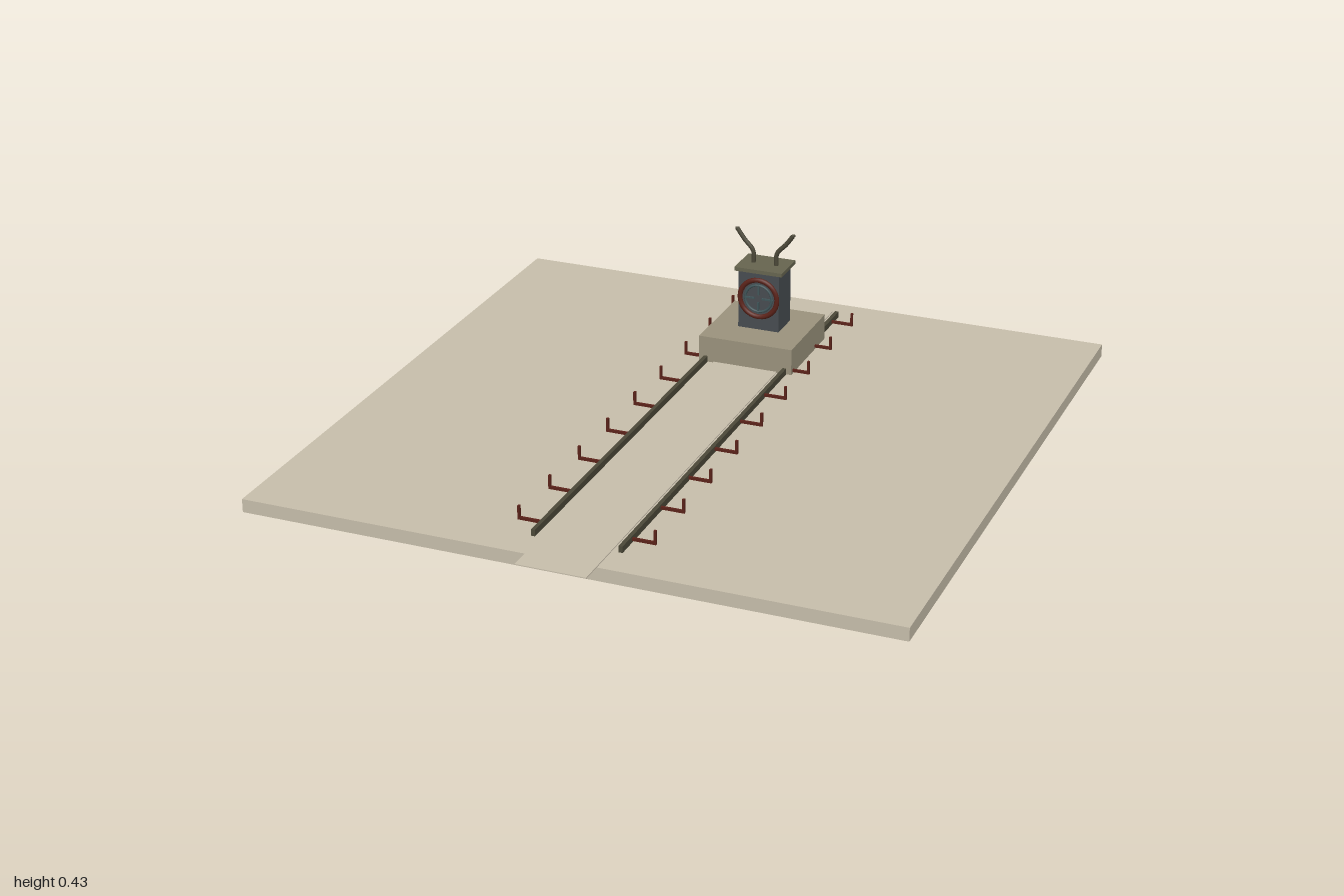
import * as THREE from 'three';

const mat = (name, color) => {
  const m = new THREE.MeshStandardMaterial({ color });
  m.name = name;
  return m;
};

export function createModel() {
  const stone = mat('pale stone', 0xc6bdaa);
  const plinthStone = mat('plinth stone', 0x9a927c);
  const slate = mat('slate', 0x474c50);
  const capStone = mat('cap stone', 0x66644f);
  const bronze = mat('dark bronze', 0x4b4838);
  const red = mat('dark red', 0x5a2219);
  const teal = mat('dull teal', 0x40565a);

  const model = new THREE.Group();
  model.name = 'shrineCourt';

  const add = (name, geometry, material, x = 0, y = 0, z = 0, parent = model) => {
    const mesh = new THREE.Mesh(geometry, material);
    mesh.name = name;
    mesh.position.set(x, y, z);
    parent.add(mesh);
    return mesh;
  };
  // Box given by its lowest and highest corners
  const box = (name, material, x0, x1, y0, y1, z0, z1) =>
    add(name, new THREE.BoxGeometry(x1 - x0, y1 - y0, z1 - z0), material,
      (x0 + x1) / 2, (y0 + y1) / 2, (z0 + z1) / 2);

  // Ground slab and the walkway that overhangs its front edge
  box('slab', stone, -0.965, 0.965, 0, 0.04, -1, 0.932);
  box('walkway', stone, -0.103, 0.103, 0.04, 0.043, -0.93, 1);

  // Rails with a row of bent hooks on the outside
  for (const side of [-1, 1]) {
    box('rail', bronze, side * 0.128 - 0.006, side * 0.128 + 0.006, 0.04, 0.059, -0.9, 0.832);
    for (let i = 0; i < 9; i++) {
      const z = -0.835 + i * 0.2;
      const hook = new THREE.Group();
      hook.name = 'hook';
      hook.position.set(side * 0.2, 0.05, z);
      model.add(hook);
      add('hookArm', new THREE.BoxGeometry(0.075, 0.008, 0.008), red, -side * 0.034, 0, 0, hook);
      add('hookTip', new THREE.BoxGeometry(0.007, 0.038, 0.008), red, 0, 0.019, 0, hook);
    }
  }

  // Plinth, pillar and cap
  box('plinth', plinthStone, -0.15, 0.15, 0.04, 0.122, -0.72, -0.42);
  box('pillar', slate, -0.066, 0.066, 0.122, 0.31, -0.635, -0.533);
  box('cap', capStone, -0.077, 0.077, 0.308, 0.32, -0.645, -0.525);

  // Round emblem on the pillar front
  const emblem = new THREE.Group();
  emblem.name = 'emblem';
  emblem.position.set(0, 0.225, -0.531);
  model.add(emblem);
  add('outerRing', new THREE.TorusGeometry(0.06, 0.008, 8, 32), red, 0, 0, 0, emblem);
  add('innerRing', new THREE.TorusGeometry(0.043, 0.004, 6, 28), teal, 0, 0, 0, emblem);
  for (let i = 0; i < 4; i++) {
    const angle = i * Math.PI / 2;
    const spoke = add('spoke', new THREE.BoxGeometry(0.036, 0.005, 0.006), teal,
      Math.cos(angle) * 0.03, Math.sin(angle) * 0.03, 0, emblem);
    spoke.rotation.z = angle;
  }

  // Two curved horns on the cap
  for (const side of [-1, 1]) {
    const path = new THREE.CatmullRomCurve3([
      [0.037, 0.318], [0.039, 0.358], [0.068, 0.392], [0.091, 0.424],
    ].map(([x, y]) => new THREE.Vector3(side * x, y, -0.585)));
    add('horn', new THREE.TubeGeometry(path, 16, 0.007, 8), bronze);
    const tip = add('hornTip', new THREE.SphereGeometry(0.007, 8, 6), bronze, side * 0.091, 0.424, -0.585);
    tip.scale.y = 0.6;
  }

  return model;
}
